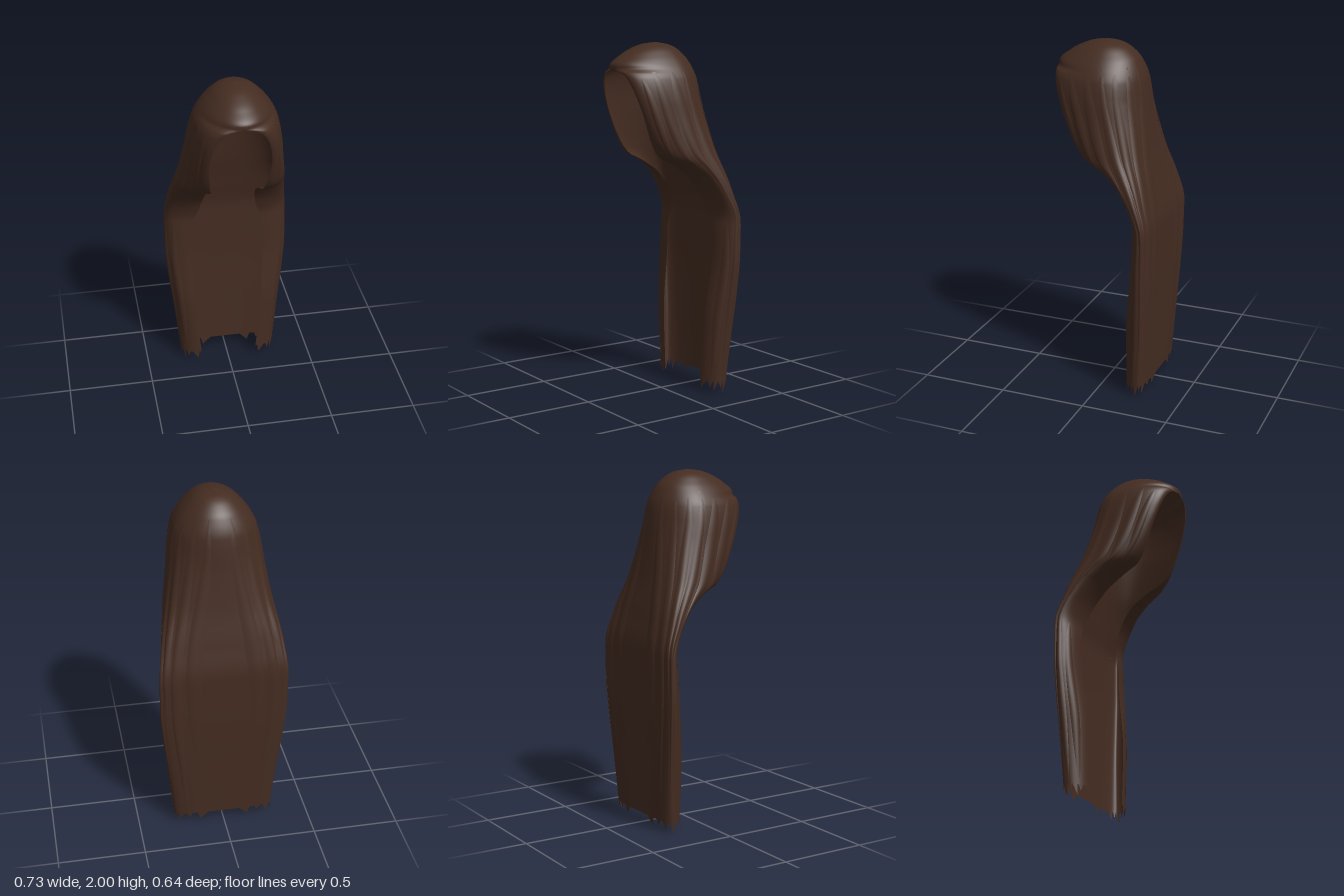
import * as THREE from 'three';
import { mergeVertices } from 'three/addons/utils/BufferGeometryUtils.js';

// Smooth monotone interpolation through [y, value] pairs, listed from top to bottom
function profile(keys) {
  const n = keys.length;
  const slope = (i) => (keys[i + 1][1] - keys[i][1]) / (keys[i + 1][0] - keys[i][0]);
  const tangent = (i) => {
    if (i === 0) return slope(0);
    if (i === n - 1) return slope(n - 2);
    const a = slope(i - 1), b = slope(i);
    return a * b <= 0 ? 0 : (2 * a * b) / (a + b);
  };
  return (y) => {
    if (y >= keys[0][0]) return keys[0][1];
    if (y <= keys[n - 1][0]) return keys[n - 1][1];
    let i = 0;
    while (y < keys[i + 1][0]) i++;
    const h = keys[i + 1][0] - keys[i][0], t = (y - keys[i][0]) / h;
    const t2 = t * t, t3 = t2 * t;
    return (2 * t3 - 3 * t2 + 1) * keys[i][1] + (t3 - 2 * t2 + t) * h * tangent(i)
      + (3 * t2 - 2 * t3) * keys[i + 1][1] + (t3 - t2) * h * tangent(i + 1);
  };
}

// Half width, half gap of the front opening, and depth of front edge, side and back
const width = profile([[2, 0], [1.99, 0.055], [1.97, 0.1], [1.93, 0.145], [1.9, 0.172], [1.85, 0.207], [1.8, 0.23],
  [1.7, 0.25], [1.6, 0.262], [1.4, 0.295], [1.2, 0.335], [1, 0.357], [0.8, 0.357], [0.6, 0.342], [0.4, 0.32], [0.2, 0.302], [0, 0.285]]);
const gap = profile([[1.85, 0], [1.845, 0.045], [1.83, 0.08], [1.8, 0.115], [1.75, 0.142], [1.7, 0.157], [1.6, 0.17],
  [1.45, 0.158], [1.3, 0.14], [1.1, 0.165], [0.9, 0.222], [0.5, 0.205], [0, 0.165]]);
const front = profile([[2, 0.04], [1.99, 0.12], [1.97, 0.18], [1.93, 0.255], [1.87, 0.32], [1.8, 0.302], [1.6, 0.235],
  [1.45, 0.175], [1.37, 0.12], [1.33, 0.04], [1.3, -0.01], [1.25, -0.08], [1.1, -0.18], [1, -0.205], [0.8, -0.2], [0.4, -0.16], [0, -0.15]]);
const side = profile([[2, 0.04], [1.8, 0.02], [1.6, -0.02], [1.4, -0.08], [1.3, -0.14], [1.2, -0.2], [1, -0.28], [0.6, -0.27], [0, -0.23]]);
const back = profile([[2, 0.04], [1.985, -0.04], [1.95, -0.1], [1.9, -0.145], [1.8, -0.185], [1.6, -0.21],
  [1.4, -0.24], [1.2, -0.28], [1, -0.312], [0.8, -0.312], [0.4, -0.3], [0, -0.285]]);
const boxiness = profile([[1.7, 2], [1, 3.4], [0, 3]]);

// Point on the hair: s = 0 at the back, 0.5 at the side, 1 at the front edge; lift pushes outward
function hairPoint(s, y, lift = 0) {
  const a = Math.min(Math.abs(s), 1) * Math.PI;
  const w = width(y) + lift, mid = side(y);
  let x, z;
  if (a <= Math.PI / 2) {
    const p = 2 / boxiness(y);
    x = w * Math.pow(Math.sin(a), p);
    z = mid + (back(y) - lift - mid) * Math.pow(Math.max(Math.cos(a), 0), p);
  } else {
    const e = gap(y), f = a - Math.PI / 2;
    x = e + (w - e) * Math.max(Math.cos(f), 0);
    z = mid + (front(y) + lift - mid) * Math.sin(f);
  }
  return [Math.sign(s) * x, y, z];
}

// Grid surface from a point rule
function sheet(rows, cols, point) {
  const pos = [], index = [];
  for (let r = 0; r <= rows; r++)
    for (let c = 0; c <= cols; c++) pos.push(...point(r / rows, c / cols));
  for (let r = 0; r < rows; r++)
    for (let c = 0; c < cols; c++) {
      const a = r * (cols + 1) + c, b = a + cols + 1;
      index.push(a, a + 1, b, b, a + 1, b + 1);
    }
  const g = new THREE.BufferGeometry();
  g.setAttribute('position', new THREE.Float32BufferAttribute(pos, 3));
  g.setIndex(index);
  const merged = mergeVertices(g, 1e-5);
  merged.computeVertexNormals();
  return merged;
}

export function createModel() {
  const model = new THREE.Group();
  const brown = new THREE.MeshStandardMaterial({ color: 0x442c21, side: THREE.DoubleSide });
  brown.name = 'dark brown';
  const add = (name, geometry, parent = model) => {
    const mesh = new THREE.Mesh(geometry, brown);
    mesh.name = name;
    parent.add(mesh);
  };

  // Main hood and long fall, with rows packed tightly at the crown
  const hem = 0.065;
  add('hairShell', sheet(130, 72, (v, u) => {
    const y = v < 0.3 ? 2 - 0.2 * Math.pow(v / 0.3, 2) : 1.8 - (1.8 - hem) * (v - 0.3) / 0.7;
    return hairPoint(u * 2 - 1, y);
  }));

  // Tapered locks lying just over the shell: [s centre, s width, top y, tip y]
  const locks = new THREE.Group();
  locks.name = 'overlaidLocks';
  model.add(locks);
  const lockList = [
    [0.1, 0.09, 1.9, 0.5], [0.22, 0.1, 1.88, 0.12], [0.34, 0.1, 1.85, 0.75], [0.45, 0.1, 1.88, 0.2],
    [0.56, 0.1, 1.84, 1.15], [0.68, 0.1, 1.84, 1.3], [0.8, 0.09, 1.8, 1.36], [0.55, 0.14, 1.15, 0.08], [0.75, 0.16, 1.0, 0.1],
  ];
  for (const m of [-1, 1])
    for (const [s, w, top, tip] of lockList)
      add('lock', sheet(28, 6, (v, u) => {
        const taper = Math.pow(Math.sin(Math.PI * (0.03 + 0.95 * v)), 0.6);
        const lift = 0.007 * Math.sin(Math.PI * v) * Math.sin(Math.PI * u) + 0.001;
        return hairPoint(m * (s + (u - 0.5) * w * taper), top + (tip - top) * v, lift);
      }), locks);

  // Ragged points along the hem: [s start, s end, s of tip, tip y]
  const tips = new THREE.Group();
  tips.name = 'raggedTips';
  model.add(tips);
  const tipList = [
    [0.05, 0.13, 0.11, 0.02], [0.17, 0.24, 0.19, 0.035], [0.25, 0.35, 0.33, 0.01], [0.36, 0.43, 0.4, 0.03],
    [0.43, 0.52, 0.5, 0.0], [0.53, 0.62, 0.56, 0.025], [0.62, 0.72, 0.7, 0.01], [0.73, 0.83, 0.77, 0.03], [0.84, 0.97, 0.94, 0.02],
  ];
  for (const m of [-1, 1])
    for (const [a, b, s, y] of tipList)
      add('tip', sheet(4, 4, (v, u) =>
        hairPoint(m * THREE.MathUtils.lerp(a + (b - a) * u, s, v), THREE.MathUtils.lerp(hem + 0.005, y, v))), tips);

  return model;
}
